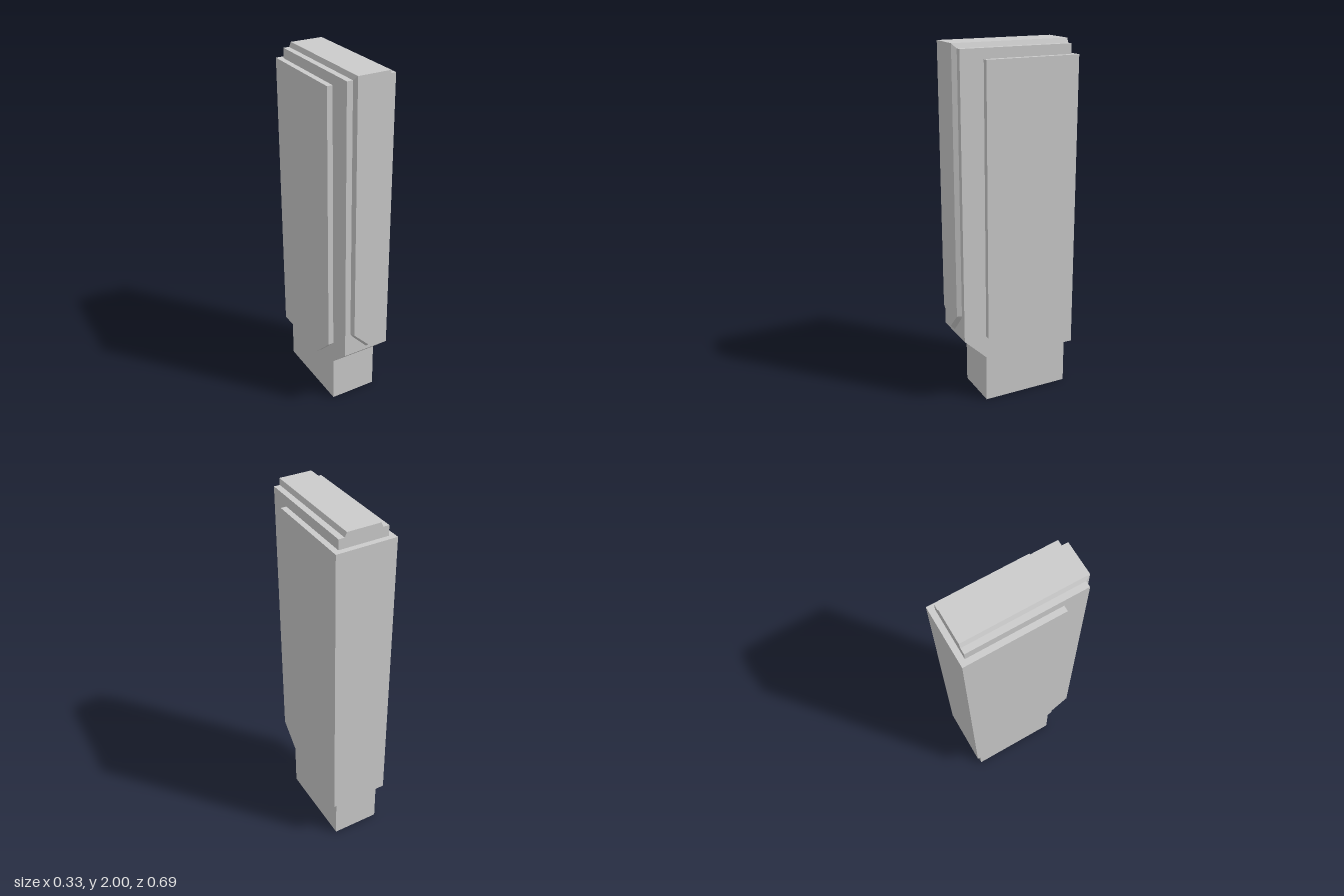
import * as THREE from 'three';

const material = new THREE.MeshStandardMaterial({ color: 0xcccccc, flatShading: true, roughness: 0.8 });

function part(name, geometry) {
  const mesh = new THREE.Mesh(geometry, material);
  mesh.name = name;
  return mesh;
}

// Side profile of [z, y] points, extruded across the width.
function sideProfile(points, width) {
  const shape = new THREE.Shape(points.map(([z, y]) => new THREE.Vector2(z, y)));
  const geometry = new THREE.ExtrudeGeometry(shape, { depth: width, bevelEnabled: false });
  return geometry.rotateY(-Math.PI / 2).translate(width / 2, 0, 0);
}

const BACK = -0.315, FRONT = 0.32, TOP = 1.975;

// Raised rail over the top and down the front, with bevelled sides and a pointed lower end.
function railGeometry() {
  // x, rise above the body, lower end of the front face, lower end at the body
  const sections = [
    [-0.103, 0, 0.535, 0.535], [-0.092, 0.025, 0.535, 0.515], [0, 0.025, 0.44, 0.415],
    [0.092, 0.025, 0.535, 0.515], [0.103, 0, 0.535, 0.535],
  ];
  const rings = sections.map(([x, rise, faceEnd, bodyEnd]) => [
    [x, TOP + rise, BACK], [x, TOP + rise, FRONT + rise], [x, faceEnd, FRONT + rise],
    [x, bodyEnd, FRONT], [x, TOP, FRONT], [x, TOP, BACK],
  ]);
  const positions = [];
  for (let s = 0; s < rings.length - 1; s++) {
    const a = rings[s], b = rings[s + 1];
    for (let i = 0; i < a.length; i++) {
      const j = (i + 1) % a.length;
      positions.push(...a[i], ...a[j], ...b[i], ...a[j], ...b[j], ...b[i]);
    }
  }
  const geometry = new THREE.BufferGeometry();
  geometry.setAttribute('position', new THREE.Float32BufferAttribute(positions, 3));
  geometry.computeVertexNormals();
  return geometry;
}

export function createModel() {
  const group = new THREE.Group();
  group.name = 'steppedBlock';

  // Inner body with a narrower foot
  group.add(part('body', sideProfile([
    [BACK, 0], [0.19, 0], [0.19, 0.27], [FRONT, 0.395], [FRONT, TOP], [BACK, TOP],
  ], 0.272)));

  // Outer jacket around the sides and back
  group.add(part('jacket', sideProfile([
    [-0.345, 0.265], [0.055, 0.265], [0.19, 0.4], [0.19, 1.92], [-0.345, 1.92],
  ], 0.334)));

  group.add(part('rail', railGeometry()));
  return group;
}
